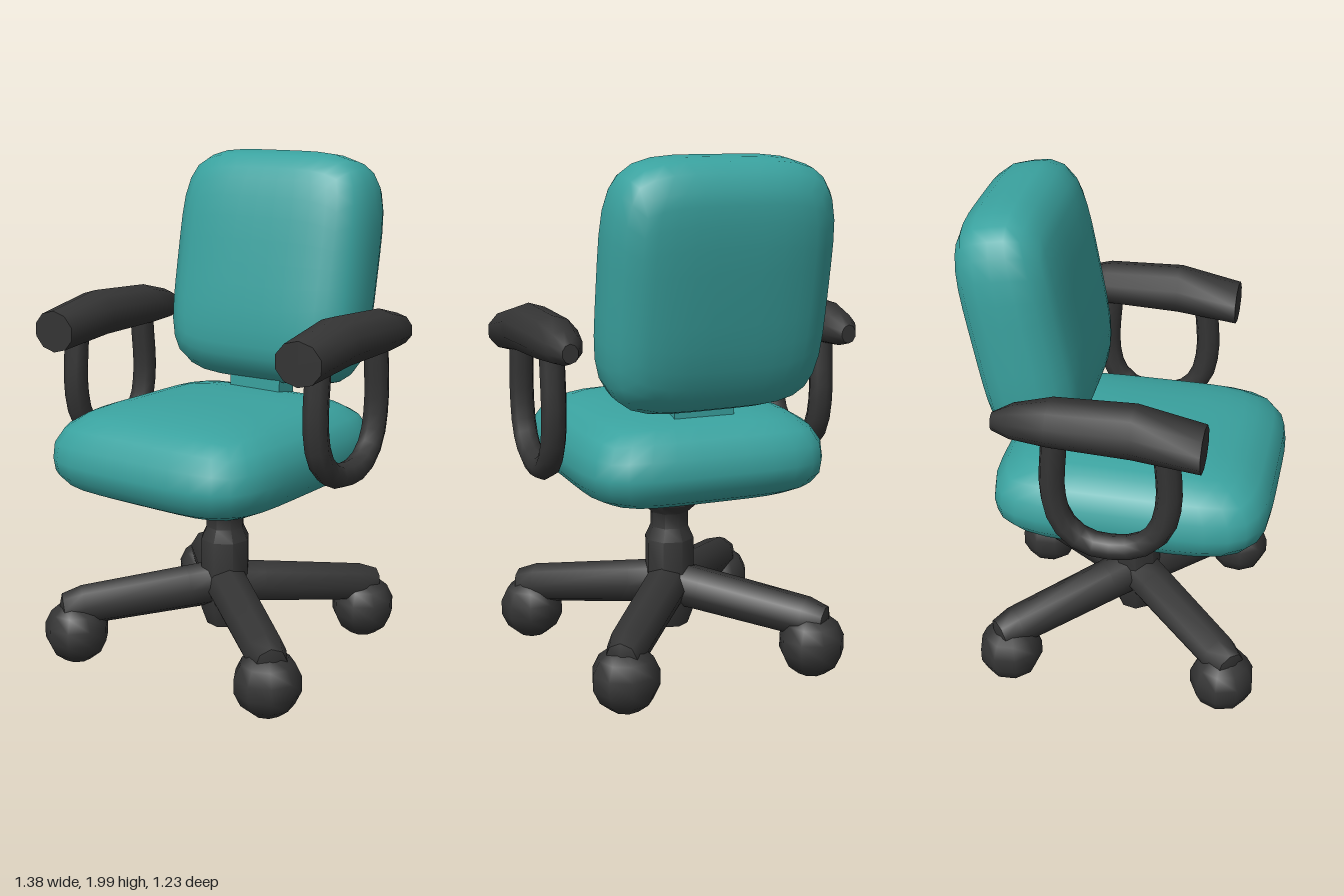
import * as THREE from 'three';
import { mergeVertices, toCreasedNormals } from 'three/addons/utils/BufferGeometryUtils.js';

const fabric = new THREE.MeshStandardMaterial({ color: 0x3aa29f });
fabric.name = 'teal fabric';
const plastic = new THREE.MeshStandardMaterial({ color: 0x343434 });
plastic.name = 'dark plastic';

function add(parent, name, geometry, material, x = 0, y = 0, z = 0) {
  const mesh = new THREE.Mesh(geometry, material);
  mesh.name = name;
  mesh.position.set(x, y, z);
  parent.add(mesh);
  return mesh;
}

// Rounded cushion: a box pushed onto a superellipsoid. The thin axis is y;
// n rounds the outline, m rounds the edge profile.
function cushion(hx, up, down, hz, n, m) {
  let g = new THREE.BoxGeometry(2, 2, 2, 10, 6, 10);
  g.deleteAttribute('uv');
  g.deleteAttribute('normal');
  g = mergeVertices(g);
  const p = g.attributes.position;
  for (let i = 0; i < p.count; i++) {
    const x = p.getX(i), y = p.getY(i), z = p.getZ(i);
    const ring = Math.pow(Math.abs(x) ** n + Math.abs(z) ** n, m / n);
    const s = 1 / Math.pow(ring + Math.abs(y) ** m, 1 / m);
    p.setXYZ(i, x * s * hx, y * s * (y > 0 ? up : down), z * s * hz);
  }
  g.computeVertexNormals();
  return g;
}

function lathe(points, sides) {
  const g = new THREE.LatheGeometry(points.map(([r, y]) => new THREE.Vector2(r, y)), sides);
  return toCreasedNormals(g, 0.85);
}

// Arm pad: stations along z as [z, half width, half height, centre y]
function armPad() {
  const stations = [
    [0.325, 0.1, 0.082, 1.313], [0.08, 0.105, 0.095, 1.353], [-0.22, 0.1, 0.084, 1.353],
    [-0.36, 0.07, 0.062, 1.34], [-0.43, 0.03, 0.035, 1.33],
  ];
  const g = new THREE.CylinderGeometry(1, 1, 1, 10, stations.length - 1);
  g.rotateX(Math.PI / 2);
  const p = g.attributes.position;
  for (let i = 0; i < p.count; i++) {
    const [z, w, h, cy] = stations[Math.round((0.5 - p.getZ(i)) * (stations.length - 1))];
    p.setXYZ(i, p.getX(i) * w, cy + p.getY(i) * h, z);
  }
  return toCreasedNormals(g, 0.85);
}

export function createModel() {
  const chair = new THREE.Group();
  chair.name = 'officeChair';

  // Base: column, four legs and casters
  const base = new THREE.Group();
  base.name = 'base';
  base.position.set(0.03, 0, 0.02);
  chair.add(base);
  add(base, 'column', lathe([
    [0, 0.13], [0.075, 0.13], [0.1, 0.2], [0.1, 0.3], [0.1, 0.49], [0.077, 0.54],
    [0.077, 0.6], [0.12, 0.64], [0.125, 0.71], [0, 0.72],
  ], 8), plastic);

  const up = new THREE.Vector3(0, 1, 0);
  const casters = [[0.4, 0.45], [0.44, -0.41], [-0.48, 0.36], [-0.34, -0.5]];
  for (const [x, z] of casters) {
    const start = new THREE.Vector3(0, 0.305, 0);
    const dir = new THREE.Vector3(x, 0.235, z).sub(start);
    const len = dir.length();
    const leg = add(base, 'leg', lathe([
      [0, 0], [0.09, 0], [0.087, 0.15], [0.08, len - 0.03], [0.06, len + 0.05], [0, len + 0.07],
    ], 8), plastic, 0, 0.305, 0);
    leg.quaternion.setFromUnitVectors(up, dir.normalize());
    const caster = add(base, 'caster', new THREE.SphereGeometry(0.13, 9, 7), plastic, x, 0.135, z);
    caster.rotation.y = Math.atan2(x, z);
  }

  // Swivelled upper part
  const upper = new THREE.Group();
  upper.name = 'swivelSeat';
  upper.position.set(0.018, 0, 0.01);
  upper.rotation.y = -0.17;
  chair.add(upper);

  add(upper, 'seat', cushion(0.485, 0.21, 0.17, 0.538, 5, 2.75), fabric, -0.01, 0.86, 0.045);

  const back = add(upper, 'backrest', cushion(0.432, 0.2, 0.195, 0.462, 4.6, 3.3),
    fabric, -0.01, 1.535, -0.366);
  back.rotation.set(Math.PI / 2 - 0.18, 0, -0.03);

  add(upper, 'backConnector', new THREE.BoxGeometry(0.24, 0.14, 0.1), fabric, 0, 1.04, -0.26);

  // Armrests: pad on a U-shaped tube
  const half = [[1.3, 0.2], [1.06, 0.212], [0.93, 0.175], [0.857, 0.085]];
  const path = [
    ...half.map(([y, z]) => new THREE.Vector3(0, y, z)),
    ...half.slice().reverse().map(([y, z]) => new THREE.Vector3(0, y - 0.005, -z)),
  ];
  const loop = new THREE.TubeGeometry(new THREE.CatmullRomCurve3(path), 18, 0.048, 8);
  const pad = armPad();
  for (const side of [1, -1]) {
    const arm = new THREE.Group();
    arm.name = side > 0 ? 'leftArmrest' : 'rightArmrest';
    arm.position.set(side * 0.555, 0, side > 0 ? -0.005 : 0.04);
    upper.add(arm);
    add(arm, 'armPad', pad, plastic);
    add(arm, 'armLoop', loop, plastic, 0, 0, -0.008);
  }
  return chair;
}
